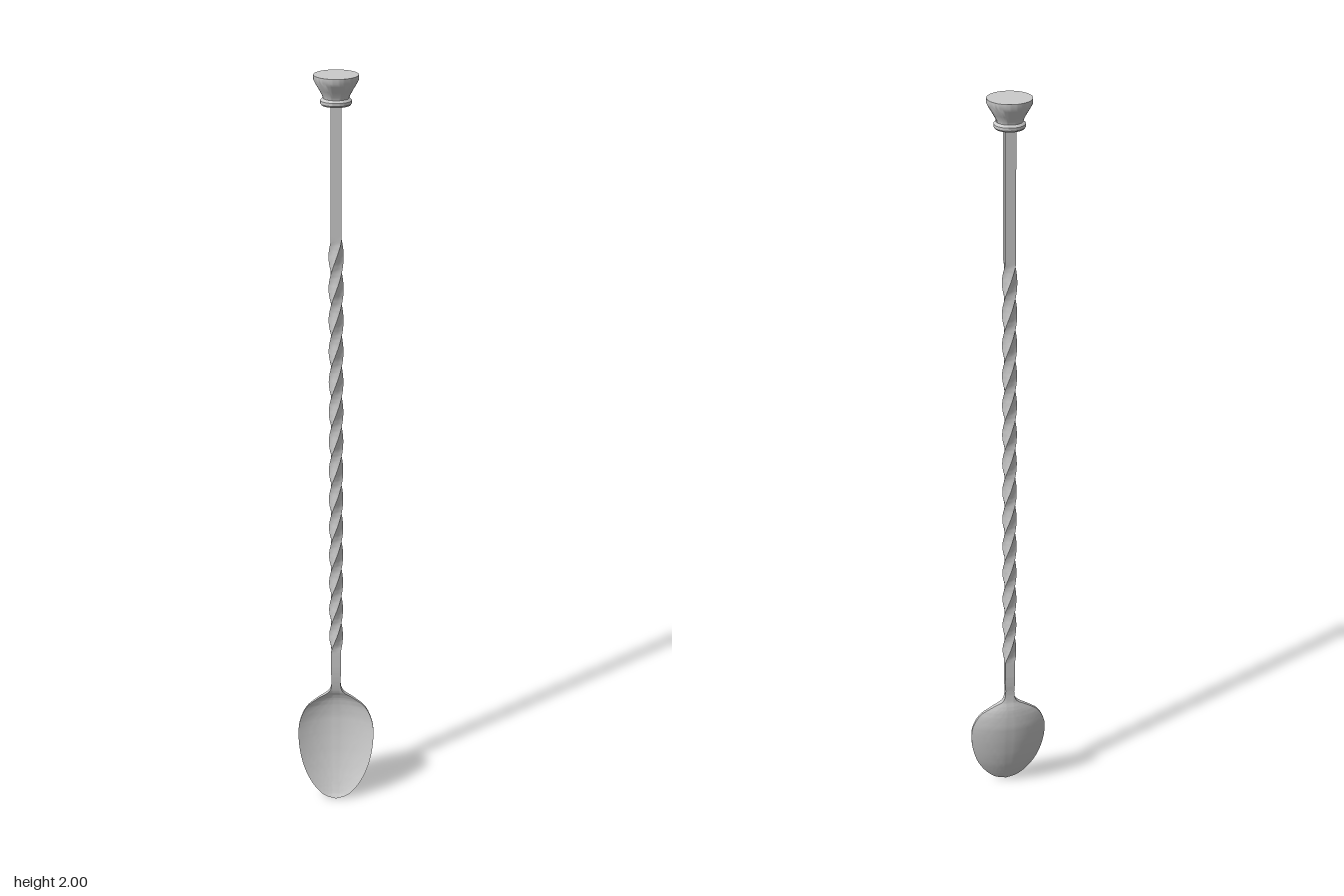
import * as THREE from 'three';
import { toCreasedNormals } from 'three/addons/utils/BufferGeometryUtils.js';

const steel = new THREE.MeshStandardMaterial({ color: 0xcccccc });

function part(name, geometry, crease) {
  const mesh = new THREE.Mesh(toCreasedNormals(geometry, crease), steel);
  mesh.name = name;
  return mesh;
}

// Square bar, twisted between two heights
function stemGeometry() {
  const low = 0.4, high = 1.935, side = 0.026, turns = 3.5;
  const geo = new THREE.BoxGeometry(side, high - low, side, 2, 240, 2);
  geo.translate(0, (low + high) / 2, 0);
  const pos = geo.attributes.position;
  const v = new THREE.Vector3(), up = new THREE.Vector3(0, 1, 0);
  for (let i = 0; i < pos.count; i++) {
    v.fromBufferAttribute(pos, i);
    const k = THREE.MathUtils.clamp((v.y - 0.45) / 1.15, 0, 1);
    v.applyAxisAngle(up, k * turns * Math.PI * 2);
    pos.setXYZ(i, v.x, v.y, v.z);
  }
  return geo;
}

// Neck and bowl lofted from dished cross-sections:
// half width, height, rim z, hollow depth, thickness
function bowlGeometry() {
  const sections = [
    [0.013, 0.4, 0.013, 0, 0.026],
    [0.013, 0.375, 0.012, 0, 0.024],
    [0.012, 0.345, 0.009, 0, 0.018],
    [0.018, 0.318, 0.006, 0.002, 0.014],
    [0.05, 0.295, 0.006, 0.012, 0.009],
    [0.08, 0.27, 0.01, 0.02, 0.007],
    [0.1, 0.225, 0.018, 0.027, 0.007],
    [0.103, 0.18, 0.026, 0.028, 0.007],
    [0.096, 0.125, 0.036, 0.026, 0.007],
    [0.08, 0.075, 0.045, 0.02, 0.007],
    [0.055, 0.033, 0.053, 0.012, 0.006],
    [0.03, 0.01, 0.057, 0.005, 0.006],
    [0, 0, 0.059, 0, 0.006],
  ];
  const outline = new THREE.CatmullRomCurve3(sections.map(s => new THREE.Vector3(s[0], s[1], s[2])));
  const dish = new THREE.CatmullRomCurve3(sections.map(s => new THREE.Vector3(s[3], s[4], 0)));
  const rows = 72, across = 24, ring = 2 * (across + 1);
  const points = [], index = [];
  for (let i = 0; i <= rows; i++) {
    const o = outline.getPoint(i / rows), d = dish.getPoint(i / rows);
    for (let j = 0; j < ring; j++) {
      const back = j > across;
      const s = (back ? ring - 1 - j : j) / across * 2 - 1;
      points.push(o.x * s, o.y, o.z - d.x * (1 - s * s) - (back ? d.y : 0));
    }
  }
  for (let i = 0; i < rows; i++) {
    for (let j = 0; j < ring; j++) {
      const a = i * ring + j, c = i * ring + (j + 1) % ring;
      index.push(a, a + ring, c, c, a + ring, c + ring);
    }
  }
  const geo = new THREE.BufferGeometry();
  geo.setAttribute('position', new THREE.Float32BufferAttribute(points, 3));
  geo.setIndex(index);
  return geo;
}

// Round flared end cap with a small collar
function capGeometry() {
  const profile = [
    [0, 1.93], [0.034, 1.93], [0.037, 1.934], [0.037, 1.941], [0.031, 1.946],
    [0.033, 1.953], [0.04, 1.966], [0.049, 1.981], [0.053, 1.989], [0.053, 2], [0, 2],
  ].map(p => new THREE.Vector2(p[0], p[1]));
  return new THREE.LatheGeometry(profile, 64);
}

export function createModel() {
  const spoon = new THREE.Group();
  spoon.name = 'spoon';
  spoon.add(
    part('twistedStem', stemGeometry(), 0.6),
    part('bowl', bowlGeometry(), 0.7),
    part('endCap', capGeometry(), 0.6),
  );
  // Bowl faces diagonally; the stem sits behind its centre
  spoon.rotation.y = THREE.MathUtils.degToRad(48);
  spoon.position.set(-0.02, 0, -0.017);

  const model = new THREE.Group();
  model.add(spoon);
  return model;
}
